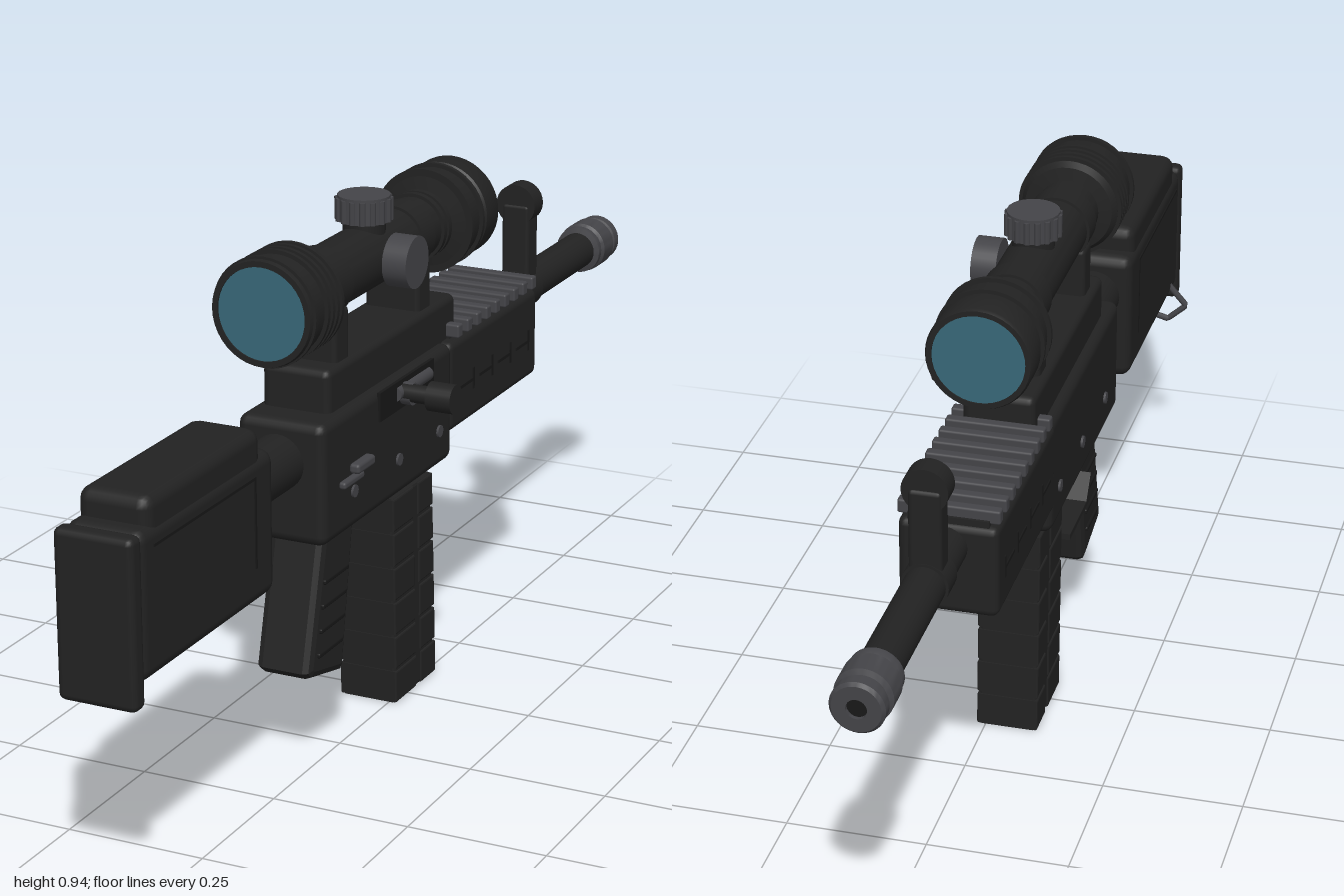
import * as THREE from 'three';
import { toCreasedNormals } from 'three/addons/utils/BufferGeometryUtils.js';
import { RoundedBoxGeometry } from 'three/addons/geometries/RoundedBoxGeometry.js';

const CX = -0.04; // centre plane of the long parts

export function createModel() {
  const root = new THREE.Group();
  root.name = 'scopedRifle';
  const mat = (name, color) => {
    const m = new THREE.MeshStandardMaterial({ color });
    m.name = name;
    return m;
  };
  const body = mat('bodyBlack', 0x222222);
  const dark = mat('darkBlack', 0x181818);
  const metal = mat('gunMetal', 0x444448);
  const glass = mat('lensTeal', 0x386878);

  const add = (name, geo, m) => {
    const mesh = new THREE.Mesh(geo, m);
    mesh.name = name;
    root.add(mesh);
    return mesh;
  };
  // box from its limits, with rounded edges when r > 0
  const box = (name, m, [x0, x1], [y0, y1], [z0, z1], r = 0) => {
    const s = [x1 - x0, y1 - y0, z1 - z0];
    const geo = r ? new RoundedBoxGeometry(...s, 2, r) : new THREE.BoxGeometry(...s);
    geo.translate((x0 + x1) / 2, (y0 + y1) / 2, (z0 + z1) / 2);
    return add(name, geo, m);
  };
  // cylinder along an axis, centred on x, y, z
  const cyl = (name, m, axis, r, len, x, y, z, sides = 28) => {
    const geo = new THREE.CylinderGeometry(r, r, len, sides);
    if (axis === 'x') geo.rotateZ(-Math.PI / 2);
    if (axis === 'z') geo.rotateX(Math.PI / 2);
    geo.translate(x, y, z);
    return add(name, geo, m);
  };
  // turned part along z from [radius, z] points with rising z
  const turned = (name, m, pts, y) => {
    const geo = new THREE.LatheGeometry(pts.map(p => new THREE.Vector2(...p)), 40);
    geo.rotateX(Math.PI / 2);
    geo.translate(CX, y, 0);
    return add(name, toCreasedNormals(geo, 0.5), m);
  };
  // side profile of [z, y] points, extruded across x with bevelled edges
  const slab = (name, m, pts, [x0, x1], bevel = 0.01) => {
    const shape = new THREE.Shape(pts.map(([z, y]) => new THREE.Vector2(-z, y)));
    const geo = new THREE.ExtrudeGeometry(shape, {
      depth: x1 - x0 - 2 * bevel, bevelThickness: bevel, bevelSize: bevel,
      bevelOffset: -bevel, bevelSegments: 2, bevelEnabled: bevel > 0,
    });
    geo.rotateY(Math.PI / 2);
    geo.translate(x0 + bevel, 0, 0);
    return add(name, geo, m);
  };
  const rod = (name, m, pts, r, closed = false) => {
    const path = new THREE.CurvePath();
    const v = pts.map(p => new THREE.Vector3(...p));
    if (closed) v.push(v[0]);
    for (let i = 1; i < v.length; i++) path.add(new THREE.LineCurve3(v[i - 1], v[i]));
    return add(name, new THREE.TubeGeometry(path, 40, r, 6), m);
  };

  // Stock
  box('buttPlate', body, [-0.11, 0.03], [0.36, 0.645], [0.965, 1], 0.012);
  box('stockBody', body, [-0.11, 0.028], [0.395, 0.645], [0.53, 0.97], 0.022);
  box('cheekRest', body, [-0.105, 0.023], [0.61, 0.69], [0.565, 0.935], 0.022);
  cyl('bufferTube', body, 'z', 0.049, 0.16, CX, 0.565, 0.475);
  for (const x of [-0.11, 0.028]) {
    box('stockTopGroove', dark, [x - 0.002, x + 0.002], [0.612, 0.617], [0.6, 0.93]);
    box('stockSideGroove', dark, [x - 0.002, x + 0.002], [0.46, 0.615], [0.6, 0.605]);
  }
  rod('slingLoop', metal, [[-0.105, 0.42, 0.905], [-0.142, 0.378, 0.905],
    [-0.105, 0.345, 0.905], [-0.068, 0.355, 0.905], [-0.07, 0.41, 0.905]], 0.006, true);

  // Receiver
  box('receiver', body, [-0.122, 0.042], [0.418, 0.635], [-0.125, 0.385], 0.018);
  box('upperReceiver', body, [-0.105, 0.022], [0.6, 0.71], [-0.18, 0.325], 0.014);
  box('ejectionPort', dark, [0.04, 0.046], [0.58, 0.632], [-0.035, 0.18]);
  cyl('bolt', metal, 'z', 0.013, 0.13, 0.042, 0.61, 0.05, 16);
  cyl('chargingHandle', body, 'x', 0.016, 0.08, 0.07, 0.608, 0.09, 20);
  cyl('chargingKnob', body, 'x', 0.026, 0.047, 0.122, 0.608, 0.09, 24);
  cyl('boltCollar', metal, 'x', 0.02, 0.025, 0.052, 0.605, 0.085, 20);
  for (const z of [0.275, 0.1, -0.065]) {
    cyl('receiverPin', metal, 'x', 0.011, 0.172, CX, 0.487, z, 14);
  }
  box('selectorLever', metal, [0.04, 0.06], [0.522, 0.54], [0.225, 0.29], 0.006);
  box('selectorPlate', metal, [0.04, 0.054], [0.507, 0.52], [0.255, 0.33], 0.005);
  box('portLatch', metal, [0.04, 0.055], [0.53, 0.55], [-0.1, -0.06], 0.005);

  // Handguard with top rail and side vents
  box('handguard', body, [-0.126, 0.044], [0.468, 0.635], [-0.497, -0.11], 0.014);
  box('railBase', body, [-0.11, 0.028], [0.625, 0.645], [-0.49, -0.14]);
  for (let i = 0; i < 9; i++) {
    const z = -0.485 + i * 0.041;
    box('railTooth', metal, [-0.127, 0.047], [0.638, 0.663], [z, z + 0.02], 0.004);
  }
  for (const x of [-0.126, 0.044]) {
    for (let i = 0; i < 4; i++) {
      const z = -0.21 - i * 0.082;
      box('handguardVent', dark, [x - 0.002, x + 0.002], [0.54, 0.546], [z, z + 0.06]);
      box('handguardSlot', dark, [x - 0.002, x + 0.002], [0.525, 0.565], [z, z + 0.006]);
    }
  }

  // Barrel, front sight and muzzle
  cyl('barrel', body, 'z', 0.035, 0.45, CX, 0.594, -0.7);
  cyl('sightCollar', body, 'z', 0.04, 0.05, CX, 0.594, -0.602);
  box('sightPost', body, [-0.068, -0.012], [0.6, 0.765], [-0.626, -0.58], 0.008);
  cyl('sightHood', body, 'z', 0.039, 0.04, CX, 0.763, -0.602);
  turned('muzzleBrake', metal, [[0.017, -0.985], [0.017, -1], [0.04, -1], [0.045, -0.994],
    [0.045, -0.975], [0.039, -0.972], [0.039, -0.964], [0.048, -0.96], [0.048, -0.915],
    [0.043, -0.91], [0.045, -0.905], [0.045, -0.893], [0.034, -0.89]], 0.594);
  cyl('muzzleBore', dark, 'z', 0.018, 0.02, CX, 0.594, -0.983, 20);

  // Grip with finger ribs
  slab('pistolGrip', body, [[0.325, 0.43], [0.2, 0.43], [0.21, 0.4], [0.252, 0.155],
    [0.262, 0.146], [0.375, 0.172], [0.388, 0.185]], [-0.092, 0.012], 0.014);
  for (let i = 0; i < 4; i++) {
    const y = 0.205 + i * 0.042, z = 0.312 - i * 0.008;
    box('gripRib', dark, [-0.096, 0.017], [y, y + 0.009], [z - 0.045, z + 0.045], 0.003);
  }

  // Trigger and guard
  rod('trigger', metal, [[CX, 0.43, 0.135], [CX, 0.395, 0.14], [CX, 0.37, 0.165],
    [CX, 0.35, 0.15]], 0.008);
  slab('triggerGuard', body, [[0.225, 0.35], [0.218, 0.36], [0.185, 0.317], [0.06, 0.317],
    [0.06, 0.305], [0.188, 0.305]], [-0.112, -0.07], 0.001);

  // Magazine with raised bands
  slab('magazine', body, [[0.064, 0.396], [-0.093, 0.396], [-0.11, 0.002], [0.052, 0.002]],
    [-0.093, 0.013], 0.006);
  box('magazineCatch', body, [-0.055, -0.025], [0.38, 0.43], [0.02, 0.035]);
  box('magazineNeck', body, [-0.07, -0.01], [0.38, 0.43], [-0.07, 0.012]);
  for (let i = 0; i < 6; i++) {
    const y = 0.004 + i * 0.066;
    const back = 0.053 + y * 0.03, front = -0.11 + y * 0.043;
    slab('magazineBand', body, [[back + 0.003, y + 0.06], [-0.03 + y * 0.04, y + 0.06],
      [-0.03 + y * 0.04, y], [back + 0.001, y]], [-0.096, 0.016], 0.003);
    slab('magazineFrontBand', body, [[-0.05 + y * 0.04, y + 0.06], [front, y + 0.06],
      [front - 0.002, y], [-0.05 + y * 0.04, y]], [-0.096, 0.016], 0.003);
  }

  // Scope tube, bells, knurled rings and lenses
  const sy = 0.835;
  turned('scopeTube', body, [[0.08, -0.294], [0.08, -0.3], [0.089, -0.3], [0.092, -0.294],
    [0.092, -0.245], [0.088, -0.242], [0.088, -0.185], [0.082, -0.176], [0.056, -0.172],
    [0.056, 0.315], [0.08, 0.318], [0.088, 0.33], [0.088, 0.436], [0.092, 0.438],
    [0.09, 0.446], [0.08, 0.446], [0.08, 0.438]], sy);
  for (const z of [0.335, 0.352, 0.369, 0.386, 0.43, -0.18, -0.225]) {
    cyl('scopeRing', body, 'z', 0.095, 0.008, CX, sy, z, 40);
  }
  for (const z of [-0.135, -0.155]) cyl('scopeCollar', body, 'z', 0.062, 0.012, CX, sy, z, 36);
  cyl('rearLens', glass, 'z', 0.08, 0.008, CX, sy, 0.439, 40);
  cyl('frontLens', glass, 'z', 0.08, 0.008, CX, sy, -0.293, 40);

  // Scope mounts
  for (const z of [0.253, -0.07]) {
    box('mountLeg', body, [-0.093, 0.012], [0.695, 0.8], [z - 0.027, z + 0.027], 0.01);
    cyl('mountRing', body, 'z', 0.061, 0.05, CX, sy, z, 36);
  }

  // Adjustment turrets
  cyl('topTurretBase', body, 'y', 0.037, 0.06, CX, 0.885, 0.065);
  cyl('topTurret', metal, 'y', 0.046, 0.045, CX, 0.922, 0.065);
  for (let i = 0; i < 16; i++) {
    const a = (i / 16) * Math.PI * 2;
    cyl('turretKnurl', metal, 'y', 0.006, 0.04, CX + 0.045 * Math.cos(a), 0.92,
      0.065 + 0.045 * Math.sin(a), 6);
  }
  cyl('sideTurret', metal, 'x', 0.046, 0.045, 0.038, sy, 0.065, 32);

  return root;
}
